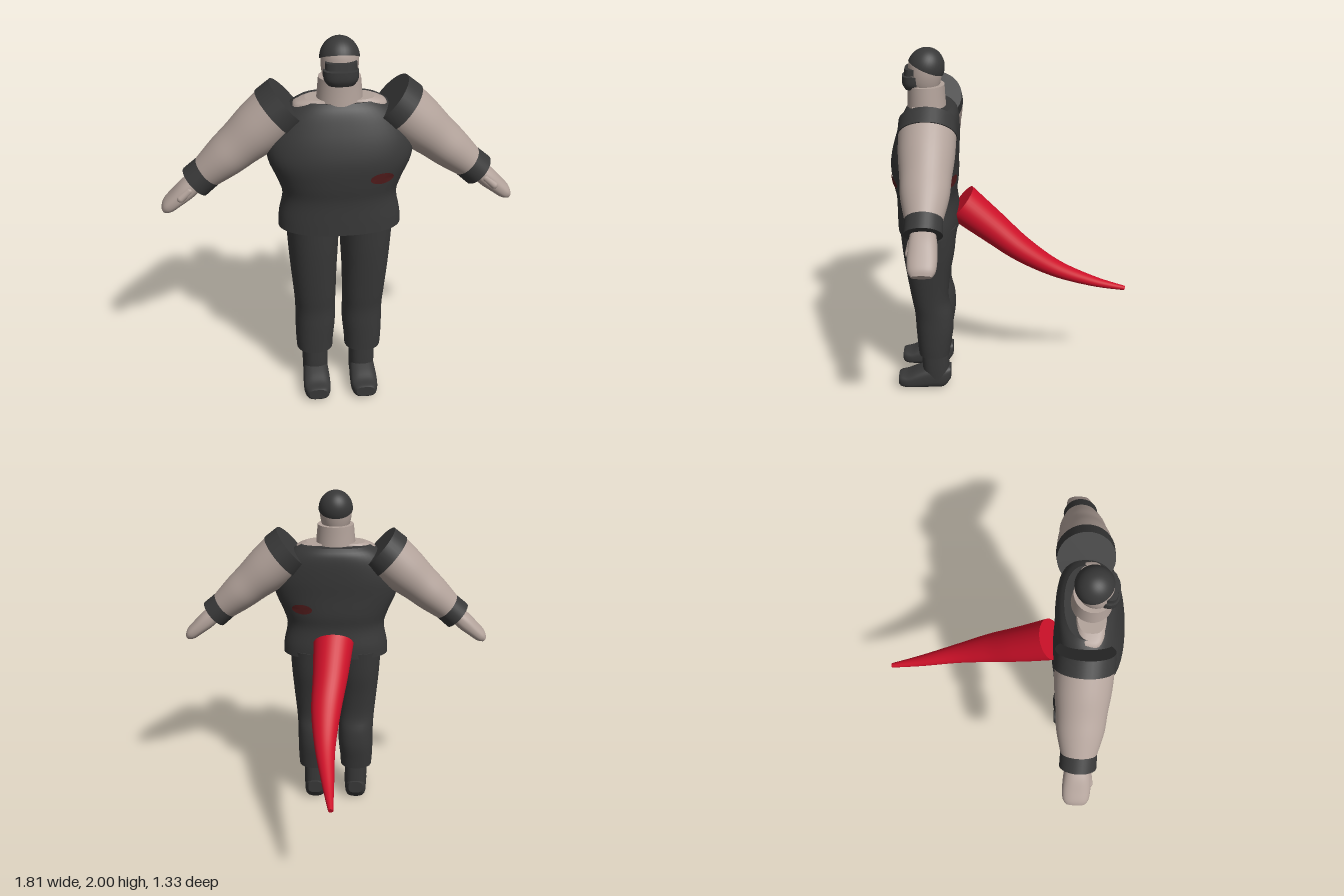
import * as THREE from 'three';

const mat = (name, color) => {
  const m = new THREE.MeshStandardMaterial({ color });
  m.name = name;
  return m;
};

// Loft through oval rings [x, y, z, a, b]; a runs along x, b across the sweep.
// dir = [dy, dz] fixes the sweep direction; null follows the path.
function loft(name, rings, material, { dir = [1, 0], n = 2, seg = 36, smooth = 4 } = {}) {
  const count = (rings.length - 1) * smooth + 1;
  const curves = [0, 1, 2, 3, 4].map((k) => (t) => {
    const f = t * (rings.length - 1), i = Math.min(Math.floor(f), rings.length - 2), u = f - i;
    const at = (j) => rings[Math.max(0, Math.min(rings.length - 1, j))][k];
    const [p0, p1, p2, p3] = [at(i - 1), at(i), at(i + 1), at(i + 2)];
    return p1 + 0.5 * u * (p2 - p0 + u * (2 * p0 - 5 * p1 + 4 * p2 - p3 + u * (3 * (p1 - p2) + p3 - p0)));
  });
  const at = (t) => curves.map((c) => c(t));
  const pos = [], idx = [];
  const pow = (v) => Math.sign(v) * Math.abs(v) ** (2 / n);
  for (let i = 0; i < count; i++) {
    const t = i / (count - 1), [x, y, z, a, b] = at(t);
    let d = dir;
    if (!d) {
      const p = at(Math.max(0, t - 0.02)), q = at(Math.min(1, t + 0.02));
      const l = Math.hypot(q[1] - p[1], q[2] - p[2]);
      d = [(q[1] - p[1]) / l, (q[2] - p[2]) / l];
    }
    for (let j = 0; j < seg; j++) {
      const w = (j / seg) * Math.PI * 2, s = pow(Math.sin(w)) * b;
      pos.push(x + pow(Math.cos(w)) * a, y - d[1] * s, z + d[0] * s);
    }
  }
  for (let i = 0; i < count - 1; i++) {
    for (let j = 0; j < seg; j++) {
      const p = i * seg + j, q = i * seg + ((j + 1) % seg);
      idx.push(p, p + seg, q, q, p + seg, q + seg);
    }
  }
  // Flat end caps with their own vertices
  for (const [row, flip] of [[0, true], [count - 1, false]]) {
    const base = pos.length / 3;
    pos.push(...at(row / (count - 1)).slice(0, 3));
    for (let j = 0; j < seg * 3; j++) pos.push(pos[row * seg * 3 + j]);
    for (let j = 0; j < seg; j++) {
      const p = base + 1 + j, q = base + 1 + ((j + 1) % seg);
      idx.push(base, flip ? p : q, flip ? q : p);
    }
  }
  const g = new THREE.BufferGeometry();
  g.setAttribute('position', new THREE.Float32BufferAttribute(pos, 3));
  g.setIndex(idx);
  g.computeVertexNormals();
  const mesh = new THREE.Mesh(g, material);
  mesh.name = name;
  return mesh;
}

export function createModel() {
  const model = new THREE.Group();
  model.name = 'figure';
  const cloth = mat('charcoal cloth', 0x383838);
  const skin = mat('pale skin', 0xb3a39b);
  const red = mat('tail red', 0xcc1028);
  const mark = mat('dark red mark', 0x521c1c);
  mark.side = THREE.DoubleSide;

  // Sleeveless top
  const torso = loft('torso', [
    [0, 1.02, 0.46, 0.315, 0.17], [0, 1.09, 0.46, 0.31, 0.17], [0, 1.2, 0.465, 0.29, 0.165],
    [0, 1.29, 0.466, 0.315, 0.177], [0, 1.4, 0.468, 0.36, 0.182], [0, 1.5, 0.455, 0.36, 0.175],
    [0, 1.6, 0.438, 0.31, 0.158], [0, 1.66, 0.43, 0.25, 0.14], [0, 1.692, 0.43, 0.2, 0.115],
  ], cloth, { n: 2.3, seg: 48 });
  model.add(torso);
  model.add(loft('bareShoulders', [
    [0, 1.64, 0.45, 0.24, 0.08], [0, 1.68, 0.45, 0.225, 0.08], [0, 1.703, 0.45, 0.17, 0.075],
  ], skin, { n: 3 }));

  // Oval marks laid on the front and back of the top
  torso.updateMatrixWorld();
  const ray = new THREE.Raycaster();
  for (const s of [1, -1]) {
    const g = new THREE.CircleGeometry(1, 28);
    const p = g.attributes.position;
    for (let i = 0; i < p.count; i++) {
      const x = 0.195 + p.getX(i) * 0.06, y = 1.33 + p.getY(i) * 0.03;
      ray.set(new THREE.Vector3(x, y, s * 2), new THREE.Vector3(0, 0, -s));
      const hit = ray.intersectObject(torso)[0];
      p.setXYZ(i, x, y, (hit ? hit.point.z : 0.46 + s * 0.16) + s * 0.006);
    }
    g.computeVertexNormals();
    const m = new THREE.Mesh(g, mark);
    m.name = s > 0 ? 'frontMark' : 'backMark';
    model.add(m);
  }

  // Neck, head, cap and face covering
  model.add(loft('neck', [[0, 1.66, 0.45, 0.117, 0.105], [0, 1.74, 0.45, 0.11, 0.1], [0, 1.805, 0.45, 0.104, 0.098]], skin));
  model.add(loft('head', [
    [0, 1.77, 0.46, 0.068, 0.072], [0, 1.82, 0.458, 0.085, 0.086], [0, 1.88, 0.452, 0.092, 0.09],
    [0, 1.94, 0.45, 0.084, 0.082], [0, 1.98, 0.45, 0.045, 0.045],
  ], skin));
  const cap = new THREE.Mesh(new THREE.SphereGeometry(1, 36, 14, 0, Math.PI * 2, 0, Math.PI / 2), cloth);
  cap.name = 'cap';
  cap.scale.set(0.098, 0.108, 0.098);
  cap.position.set(0, 1.893, 0.448);
  cap.rotation.x = -0.42;
  model.add(cap);
  model.add(loft('mask', [
    [0, 1.785, 0.515, 0.065, 0.045], [0, 1.815, 0.52, 0.083, 0.054], [0, 1.858, 0.52, 0.085, 0.054],
  ], cloth, { n: 2.4 }));
  model.add(loft('goggles', [[0, 1.864, 0.52, 0.076, 0.042], [0, 1.897, 0.52, 0.076, 0.038]], cloth, { n: 3 }));

  for (const s of [1, -1]) {
    const side = s > 0 ? 'left' : 'right';

    // Arm, built along its own y and swung outward
    const arm = new THREE.Group();
    arm.name = side + 'Arm';
    arm.position.set(s * 0.245, 1.672, 0.425);
    arm.rotation.z = -s * 2.28;
    const along = (name, list, material, o) =>
      arm.add(loft(name, list.map(([y, a, b]) => [0, y, 0, a, b]), material, o));
    along('shoulderBand', [[0, 0.146, 0.149], [0.09, 0.15, 0.152]], cloth);
    along('sleeve', [[0.07, 0.145, 0.148], [0.2, 0.136, 0.143], [0.32, 0.118, 0.13], [0.43, 0.106, 0.121], [0.56, 0.084, 0.092]], skin);
    along('wristCuff', [[0.535, 0.086, 0.094], [0.633, 0.088, 0.095]], cloth);
    along('hand', [[0.6, 0.04, 0.058], [0.68, 0.05, 0.07], [0.76, 0.043, 0.073], [0.82, 0.036, 0.067], [0.85, 0.02, 0.05]], skin, { n: 2.4 });
    const thumb = new THREE.Mesh(new THREE.CapsuleGeometry(0.02, 0.06, 6, 14), skin);
    thumb.name = 'thumb';
    thumb.position.set(0, 0.7, 0.058);
    thumb.rotation.x = 0.15;
    arm.add(thumb);
    model.add(arm);

    // Trouser leg
    model.add(loft(side + 'TrouserLeg', [
      [0.132, 0.235, 0.45, 0.098, 0.09], [0.132, 0.3, 0.447, 0.102, 0.097], [0.128, 0.4, 0.442, 0.108, 0.107],
      [0.128, 0.5, 0.445, 0.108, 0.107], [0.13, 0.6, 0.462, 0.112, 0.104], [0.135, 0.75, 0.464, 0.121, 0.121],
      [0.137, 0.9, 0.458, 0.131, 0.143], [0.138, 1.05, 0.455, 0.138, 0.155],
    ].map((r) => [s * r[0], ...r.slice(1)]), cloth, { n: 2.2 }));

    // Boot
    model.add(loft(side + 'BootShaft', [
      [s * 0.13, 0.07, 0.442, 0.068, 0.075], [s * 0.13, 0.14, 0.445, 0.07, 0.078], [s * 0.13, 0.25, 0.447, 0.07, 0.077],
    ], cloth, { n: 2.4 }));
    model.add(loft(side + 'BootFoot', [
      [0.095, 0.358, 0.045, 0.04], [0.072, 0.4, 0.064, 0.068], [0.072, 0.47, 0.069, 0.072], [0.059, 0.55, 0.073, 0.059],
      [0.047, 0.61, 0.072, 0.044], [0.046, 0.65, 0.061, 0.039], [0.05, 0.665, 0.048, 0.03],
    ].map(([y, z, a, b]) => [s * 0.13, y, z, a, b]), cloth, { dir: [0, 1], n: 2.8 }));
  }

  // Tapering tail
  model.add(loft('tail', [
    [0.01, 1.13, 0.28, 0.118, 0.108], [0.025, 0.99, 0.11, 0.102, 0.09], [0.045, 0.855, -0.06, 0.085, 0.07],
    [0.046, 0.73, -0.26, 0.058, 0.047], [0.025, 0.635, -0.48, 0.034, 0.028], [0.006, 0.58, -0.662, 0.014, 0.013],
  ], red, { dir: null, smooth: 8 }));

  return model;
}
